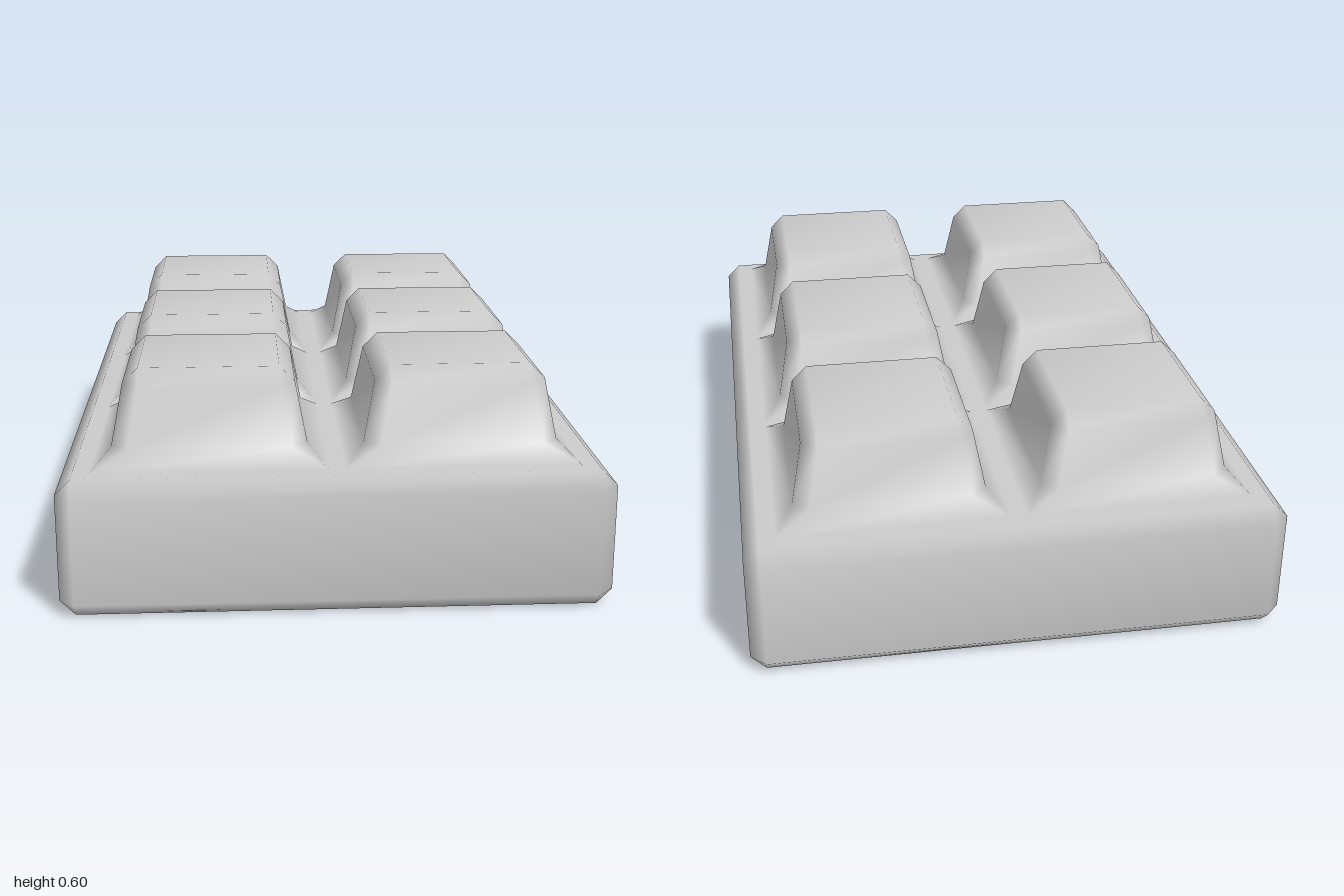
import * as THREE from 'three';
import { mergeVertices } from 'three/addons/utils/BufferGeometryUtils.js';

// Skin a stack of corner-cut rectangles; each level is [y, halfX, halfZ, cornerCut].
function bevelledStack(levels, bottomCap) {
  const pos = [], index = [], n = 8;
  for (const [y, w, d, c] of levels) {
    pos.push(
      w, y, -d + c, w, y, d - c,
      w - c, y, d, -w + c, y, d,
      -w, y, d - c, -w, y, -d + c,
      -w + c, y, -d, w - c, y, -d);
  }
  for (let r = 0; r < levels.length - 1; r++) {
    for (let i = 0; i < n; i++) {
      const a = r * n + i, b = r * n + (i + 1) % n;
      index.push(a, a + n, b, b, a + n, b + n);
    }
  }
  const top = (levels.length - 1) * n;
  for (let i = 1; i < n - 1; i++) {
    index.push(top, top + i + 1, top + i);
    if (bottomCap) index.push(0, i, i + 1);
  }
  const geo = new THREE.BufferGeometry();
  geo.setAttribute('position', new THREE.Float32BufferAttribute(pos, 3));
  geo.setIndex(index);
  const merged = mergeVertices(geo);
  merged.computeVertexNormals();
  return merged;
}

export function createModel() {
  const group = new THREE.Group();
  group.name = 'studdedSlab';
  const material = new THREE.MeshStandardMaterial({ color: 0xcccccc });

  // Slab with bevelled edges
  const slab = new THREE.Mesh(bevelledStack([
    [0, 0.665, 0.96, 0],
    [0.04, 0.705, 1, 0.04],
    [0.32, 0.705, 1, 0.04],
    [0.36, 0.665, 0.96, 0],
  ], true), material);
  slab.name = 'slab';
  group.add(slab);

  // Tapered raised block with a flared foot
  const blockGeo = bevelledStack([
    [0.36, 0.3, 0.3, 0],
    [0.405, 0.25, 0.25, 0.04],
    [0.56, 0.22, 0.22, 0.04],
    [0.6, 0.18, 0.18, 0],
  ], false);
  // The foot blends into the flat slab top
  const p = blockGeo.attributes.position, nrm = blockGeo.attributes.normal;
  for (let i = 0; i < p.count; i++) {
    if (p.getY(i) < 0.37) nrm.setXYZ(i, 0, 1, 0);
  }

  // Two columns of three blocks
  for (const x of [-0.322, 0.322]) {
    for (const z of [-0.617, 0, 0.617]) {
      const block = new THREE.Mesh(blockGeo, material);
      block.name = 'raisedBlock';
      block.position.set(x, 0, z);
      group.add(block);
    }
  }
  return group;
}
